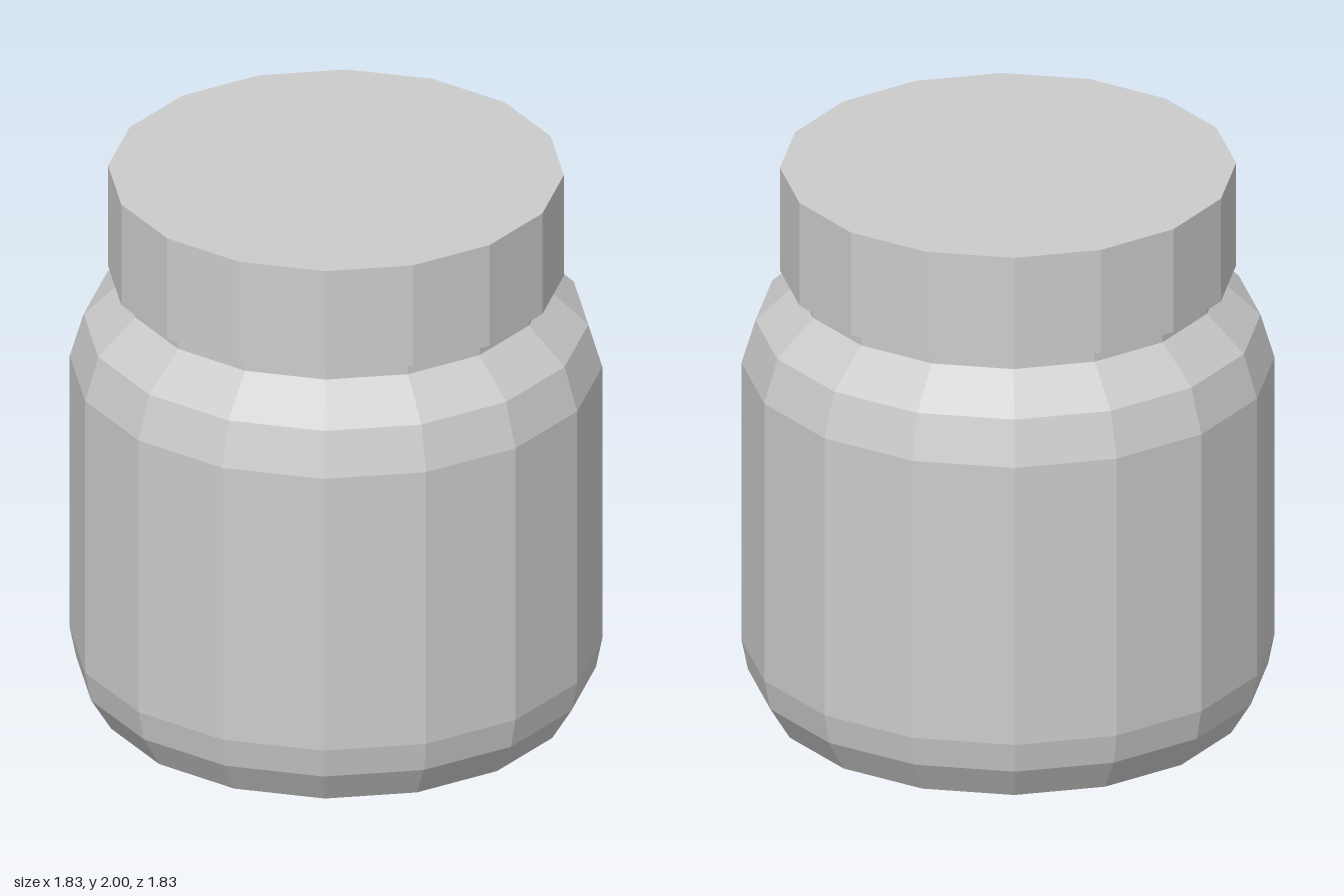
import * as THREE from 'three';

const SIDES = 16;

export function createModel() {
  const jar = new THREE.Group();
  jar.name = 'jar';
  const material = new THREE.MeshStandardMaterial({ color: 0xcccccc, flatShading: true });

  // Turns a [radius, height] profile, listed from bottom to top, into a faceted part
  function turned(name, profile) {
    const points = profile.map(([r, y]) => new THREE.Vector2(r, y));
    const mesh = new THREE.Mesh(new THREE.LatheGeometry(points, SIDES), material);
    mesh.name = name;
    jar.add(mesh);
  }

  // Body with chamfered base and sloping shoulder
  turned('body', [
    [0, 0], [0.82, 0], [0.893, 0.12], [0.915, 0.23],
    [0.915, 1.27], [0.867, 1.43], [0.732, 1.56],
  ]);

  // Narrow neck between shoulder and lid
  turned('neck', [[0.732, 1.56], [0.732, 1.615]]);

  // Flat-topped screw lid, overhanging the neck
  turned('lid', [[0, 1.615], [0.783, 1.615], [0.783, 2], [0, 2]]);

  return jar;
}
